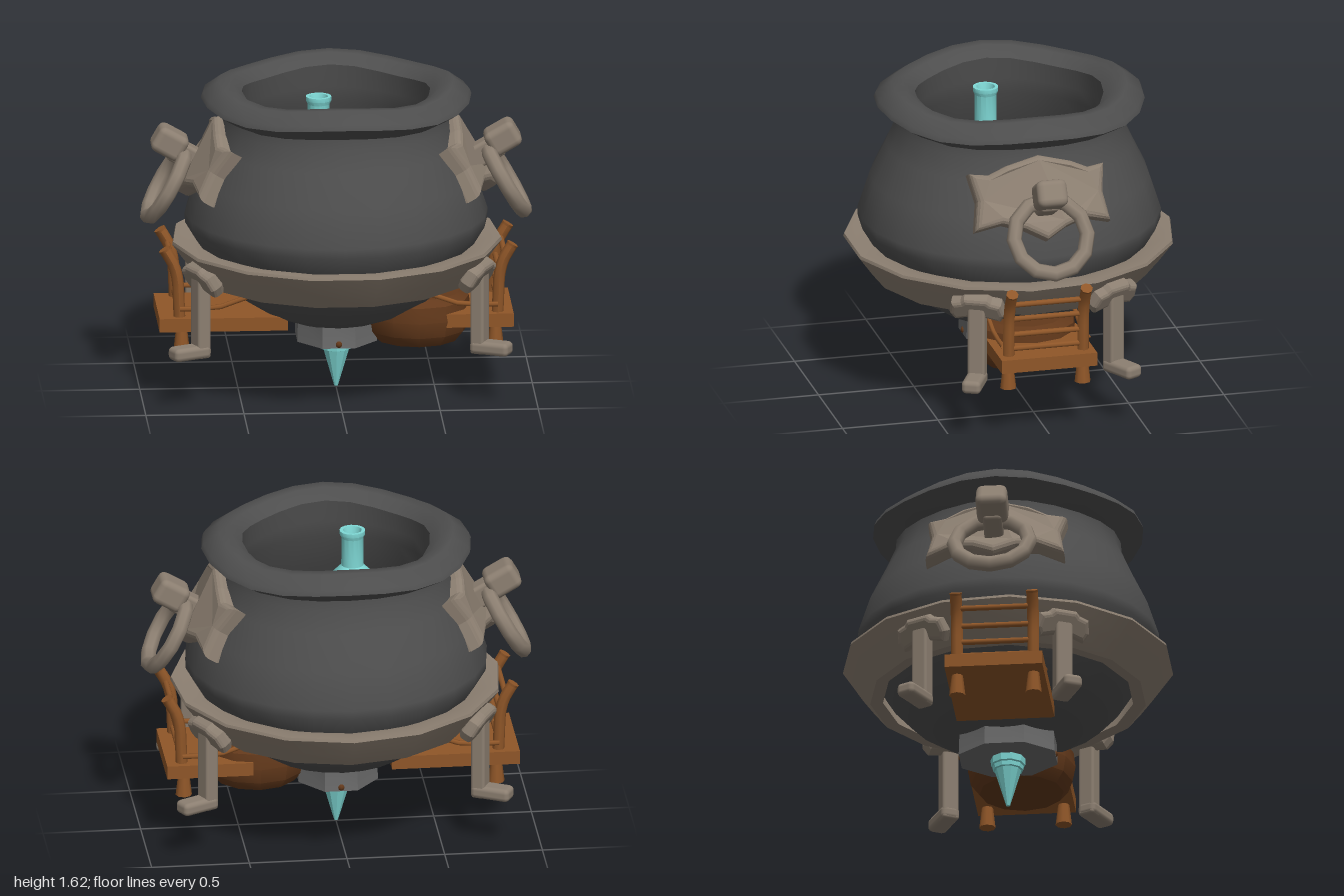
import * as THREE from 'three';
import { toCreasedNormals, mergeVertices } from 'three/addons/utils/BufferGeometryUtils.js';
import { RoundedBoxGeometry } from 'three/addons/geometries/RoundedBoxGeometry.js';

const mat = (color) => new THREE.MeshStandardMaterial({ color });
const iron = mat(0x4e4e4e), stone = mat(0x8c7f71), wood = mat(0x8f5628);
const darkWood = mat(0x63391b), steel = mat(0x6c6c6c), glass = mat(0x7fd9d6);
iron.side = glass.side = THREE.DoubleSide;

function add(parent, name, geometry, material, x = 0, y = 0, z = 0) {
  const mesh = new THREE.Mesh(geometry, material);
  mesh.name = name;
  mesh.position.set(x, y, z);
  parent.add(mesh);
  return mesh;
}

const V = (a) => new THREE.Vector3(...a);
const curve = (points) => new THREE.CatmullRomCurve3(points.map(V));

function lathe(profile, sides, crease, start = 0) {
  const g = new THREE.LatheGeometry(profile.map(p => new THREE.Vector2(...p)), sides, start);
  return toCreasedNormals(g, crease);
}

// Outline extruded along z, centred, with a rounded edge
function plate(outline, depth, bevel) {
  const shape = new THREE.Shape(outline.map(p => new THREE.Vector2(...p)));
  const g = new THREE.ExtrudeGeometry(shape, {
    depth: depth - 2 * bevel, bevelThickness: bevel, bevelSize: bevel, bevelOffset: -bevel, bevelSegments: 3,
  });
  return g.translate(0, 0, bevel - depth / 2);
}

// Tube whose radius follows a function of its length
function taperedTube(path, steps, sides, radiusAt) {
  const g = new THREE.TubeGeometry(path, steps, 1, sides);
  const p = g.attributes.position, v = new THREE.Vector3();
  for (let i = 0; i < p.count; i++) {
    const t = Math.floor(i / (sides + 1)) / steps;
    const c = path.getPointAt(t);
    v.fromBufferAttribute(p, i).sub(c).multiplyScalar(radiusAt(t)).add(c);
    p.setXYZ(i, v.x, v.y, v.z);
  }
  g.computeVertexNormals();
  return g;
}

// Pot with a thick, wavy rolled lip
function potGeometry() {
  const profile = [
    [0, 0.35], [0.2, 0.355], [0.37, 0.42], [0.51, 0.51], [0.61, 0.62], [0.71, 0.78], [0.77, 0.88], [0.772, 0.93],
    [0.71, 1.12], [0.628, 1.29], [0.58, 1.4], [0.575, 1.45], [0.62, 1.475], [0.69, 1.52], [0.68, 1.545],
    [0.6, 1.603], [0.54, 1.6], [0.48, 1.55], [0.49, 1.44], [0.5, 1.36], [0.6, 1.15], [0.7, 0.92],
    [0.62, 0.74], [0.46, 0.58], [0.3, 0.53], [0, 0.52],
  ];
  const g = new THREE.LatheGeometry(profile.map(p => new THREE.Vector2(...p)), 24);
  const p = g.attributes.position;
  for (let i = 0; i < p.count; i++) {
    const y = p.getY(i), w = THREE.MathUtils.smoothstep(y, 1.38, 1.52);
    p.setY(i, y + 0.015 * w * Math.cos(4 * Math.atan2(p.getX(i), p.getZ(i))));
  }
  g.deleteAttribute('uv');
  g.deleteAttribute('normal');
  return toCreasedNormals(mergeVertices(g), 0.8);
}

// Wall plate, knob and hanging ring, facing +z before turning
function ringHandle(side) {
  const turn = new THREE.Group(), tilt = new THREE.Group();
  turn.name = side > 0 ? 'leftRingHandle' : 'rightRingHandle';
  turn.rotation.y = side * Math.PI / 2;
  turn.position.set(side * 0.66, 1.23, 0);
  tilt.rotation.x = -0.52;
  turn.add(tilt);
  const half = [[0, -0.235], [0.11, -0.17], [0.22, -0.13], [0.355, -0.15], [0.33, 0], [0.355, 0.15], [0.26, 0.13], [0.17, 0.165], [0, 0.205]];
  const outline = [...half, ...half.slice(1, -1).reverse().map(([x, y]) => [-x, y])];
  const g = plate(outline, 0.11, 0.03);
  const p = g.attributes.position;
  for (let i = 0; i < p.count; i++) p.setZ(i, p.getZ(i) - 0.65 * p.getX(i) ** 2);
  g.computeVertexNormals();
  add(tilt, 'handlePlate', g, stone, 0, 0, 0.012);
  add(tilt, 'handleStem', new RoundedBoxGeometry(0.1, 0.12, 0.16, 2, 0.02), stone, 0, -0.05, 0.1);
  add(tilt, 'handleKnob', new RoundedBoxGeometry(0.16, 0.14, 0.17, 2, 0.035), stone, 0, -0.03, 0.2);
  add(tilt, 'ring', new THREE.TorusGeometry(0.192, 0.04, 8, 12), stone, 0, -0.23, 0.105);
  return turn;
}

// Bracket on the band, post and outward foot
function leg(angle) {
  const g = new THREE.Group();
  g.name = 'leg';
  g.rotation.y = angle;
  const half = [[0.05, -0.06], [0.12, -0.08], [0.145, -0.03], [0.13, 0.04], [0.08, 0.055], [0.06, 0.075]];
  const outline = [...half, ...half.map(([x, y]) => [-x, y]).reverse()];
  add(g, 'legBracket', plate(outline, 0.08, 0.025), stone, 0, 0.68, 0.785).rotation.x = 0.5;
  add(g, 'legPost', new RoundedBoxGeometry(0.09, 0.44, 0.075, 2, 0.015), stone, 0, 0.48, 0.79);
  add(g, 'foot', new RoundedBoxGeometry(0.1, 0.07, 0.21, 2, 0.025), stone, 0, 0.295, 0.855);
  return g;
}

// Plank deck with a bowed railing at its outer end
function deck(side, inner, outer) {
  const g = new THREE.Group();
  g.name = side > 0 ? 'leftDeck' : 'rightDeck';
  const zc = 0.012;
  add(g, 'plank', new THREE.BoxGeometry(outer - inner, 0.07, 0.5), wood, side * (outer + inner) / 2, 0.405, zc);
  const bow = curve([[0.81, 0.42, 0], [0.815, 0.54, 0], [0.82, 0.63, 0], [0.84, 0.71, 0], [0.885, 0.79, 0]]
    .map(([x, y, z]) => [side * x, y, z]));
  for (const z of [-0.195, 0.195]) {
    add(g, 'railPost', taperedTube(bow, 10, 8, () => 0.03), wood, 0, 0, zc + z);
    const cap = add(g, 'postCap', new THREE.CylinderGeometry(0.032, 0.03, 0.012, 8), wood, side * 0.885, 0.79, zc + z);
    cap.rotation.z = -side * 0.55;
    add(g, 'deckStub', new THREE.CylinderGeometry(0.028, 0.042, 0.12, 8), wood, side * 0.8, 0.32, zc + z);
  }
  for (const [x, y] of [[0.815, 0.475], [0.815, 0.55], [0.822, 0.637], [0.85, 0.724]]) {
    const rung = add(g, 'rung', new THREE.CylinderGeometry(0.015, 0.015, 0.39, 8), wood, side * x, y, zc);
    rung.rotation.x = Math.PI / 2;
  }
  return g;
}

export function createModel() {
  const model = new THREE.Group();
  model.name = 'cauldron';

  add(model, 'pot', potGeometry(), iron);
  const bandProfile = [[0.64, 0.61], [0.705, 0.605], [0.775, 0.69], [0.845, 0.785], [0.84, 0.8], [0.78, 0.8], [0.7, 0.78], [0.64, 0.61]];
  add(model, 'band', lathe(bandProfile, 15, 0.45, Math.PI), stone);

  for (const side of [-1, 1]) {
    model.add(ringHandle(side));
    for (const a of [1.117, 2.06]) model.add(leg(side * a));
  }
  model.add(deck(1, 0.45, 0.89), deck(-1, 0.26, 0.915));

  // Thin rods running through the pot between the decks
  for (const z of [-0.22, 0.235]) {
    const path = curve([[-0.81, 0.485, z], [-0.62, 0.49, z], [-0.47, 0.54, z], [0, 0.66, z], [0.47, 0.54, z], [0.62, 0.49, z], [0.81, 0.485, z]]);
    add(model, 'rod', new THREE.TubeGeometry(path, 16, 0.013, 6), wood);
  }

  // Eight-sided burner through the pot floor, with a knob at each end
  const burnerProfile = [[0, 0.265], [0.265, 0.265], [0.26, 0.4], [0.31, 0.66], [0.29, 0.7], [0.23, 0.7], [0.16, 0.55], [0, 0.54]];
  add(model, 'burner', lathe(burnerProfile, 8, 0.3, Math.PI / 8), steel).scale.x = 0.83;
  const knobProfile = [[0.055, -0.09], [0.075, -0.03], [0.105, 0.01], [0.1, 0.05], [0.06, 0.07], [0, 0.075]];
  for (const s of [-1, 1]) {
    add(model, 'burnerKnob', lathe(knobProfile, 12, 0.8), steel, 0, 0.64, s * 0.345).rotation.x = s * Math.PI / 2;
    add(model, 'burnerPlug', new THREE.SphereGeometry(0.02, 8, 6), darkWood, 0, 0.285, s * 0.235);
  }

  // Pointed glass nozzle underneath
  const nozzle = [[0, 0], [0.01, 0.005], [0.068, 0.2], [0.078, 0.203], [0.08, 0.225], [0.088, 0.23], [0.09, 0.27], [0, 0.27]];
  add(model, 'nozzle', lathe(nozzle, 10, 0.4), glass);

  // Wooden bulb below, with a stem curling round the flask
  const bulb = [[0, 0.265], [0.215, 0.265], [0.26, 0.32], [0.275, 0.4], [0.265, 0.48], [0.22, 0.512], [0, 0.515]];
  add(model, 'bulb', lathe(bulb, 12, 0.6), darkWood, 0.41, 0, 0.03);
  const stem = curve([
    [0.36, 0.45, -0.03], [0.36, 0.7, -0.03], [0.35, 0.95, -0.03], [0.28, 1.1, 0], [0.15, 1.14, -0.02], [0.02, 1.15, -0.08],
    [-0.12, 1.15, -0.1], [-0.22, 1.15, -0.04], [-0.26, 1.15, 0.1], [-0.21, 1.15, 0.2], [-0.12, 1.15, 0.25],
  ]);
  add(model, 'curledStem', taperedTube(stem, 40, 10, t => 0.15 - 0.085 * THREE.MathUtils.smoothstep(t, 0.25, 0.65) - 0.015 * t), darkWood);

  // Round flask with an open neck
  const flask = [
    [0, 1.03], [0.08, 1.05], [0.145, 1.11], [0.168, 1.2], [0.145, 1.28], [0.07, 1.355], [0.057, 1.37], [0.056, 1.52],
    [0.066, 1.54], [0.066, 1.56], [0.048, 1.56], [0.036, 1.51], [0.03, 1.38], [0, 1.38],
  ];
  add(model, 'flask', lathe(flask, 14, 0.6), glass, -0.095, 0, 0.1);

  return model;
}
